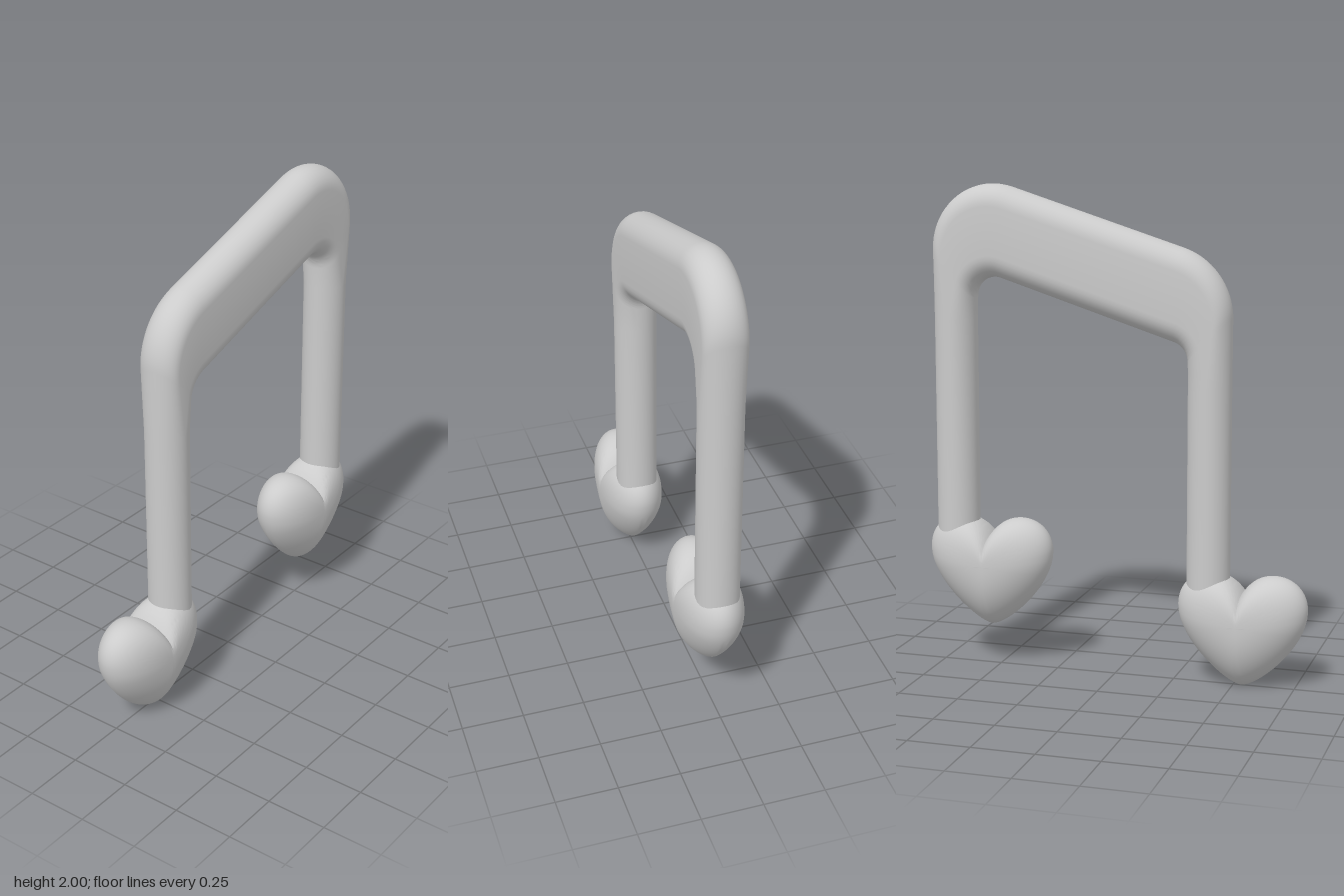
import * as THREE from 'three';
import { toCreasedNormals } from 'three/addons/utils/BufferGeometryUtils.js';

const R = 0.088; // tube radius of the stems and beam edges

// Skin a list of closed rings of Vector3
function loft(rings) {
  const n = rings[0].length, index = [];
  for (let i = 0; i < rings.length - 1; i++) {
    for (let j = 0; j < n; j++) {
      const a = i * n + j, b = i * n + (j + 1) % n;
      index.push(a, a + n, b + n, a, b + n, b);
    }
  }
  const geo = new THREE.BufferGeometry().setFromPoints(rings.flat());
  geo.setIndex(index);
  return toCreasedNormals(geo, 0.8);
}

// Points of a corner arc, angles in degrees
function arc(cx, cy, r, from, to, steps = 20) {
  return Array.from({ length: steps + 1 }, (_, i) => {
    const a = THREE.MathUtils.degToRad(from + (to - from) * i / steps);
    return new THREE.Vector2(cx + r * Math.cos(a), cy + r * Math.sin(a));
  });
}

// Stems and slanted beam: stadium sections between an outer and an inner path
function frameGeometry() {
  const v = (x, y) => new THREE.Vector2(x, y);
  const outer = [v(-0.48, 0.3), v(-0.48, 1.2),
    ...arc(-0.19, 1.483, 0.29, 180, 108), ...arc(0.511, 1.744, 0.256, 108, 0),
    v(0.767, 1.45), v(0.767, 0.46)];
  const inner = [v(-0.304, 0.3), v(-0.304, 1.2),
    ...arc(-0.221, 1.307, 0.083, 180, 108), ...arc(0.503, 1.537, 0.088, 108, 0),
    v(0.591, 1.45), v(0.591, 0.46)];
  const half = 16;
  return loft(outer.map((o, i) => {
    const d = o.clone().sub(inner[i]);
    const flat = Math.max(0, d.length() / 2 - R);
    const mid = o.clone().add(inner[i]).multiplyScalar(0.5);
    d.normalize();
    const ring = [];
    for (const side of [1, -1]) {
      for (let k = 0; k <= half; k++) {
        const a = Math.PI * (k / half - 0.5);
        const u = side * (flat + R * Math.cos(a));
        ring.push(new THREE.Vector3(mid.x + d.x * u, mid.y + d.y * u, -side * R * Math.sin(a)));
      }
    }
    return ring;
  }));
}

// Puffed heart: scaled outlines that bulge towards the middle
function heartGeometry() {
  const s = new THREE.Shape();
  s.moveTo(0, 0);
  s.bezierCurveTo(0.06, 0, 0.265, 0.17, 0.265, 0.325);
  s.bezierCurveTo(0.265, 0.405, 0.205, 0.46, 0.13, 0.46);
  s.bezierCurveTo(0.07, 0.46, 0.03, 0.43, 0, 0.385);
  s.bezierCurveTo(-0.03, 0.43, -0.07, 0.46, -0.13, 0.46);
  s.bezierCurveTo(-0.205, 0.46, -0.265, 0.405, -0.265, 0.325);
  s.bezierCurveTo(-0.265, 0.17, -0.06, 0, 0, 0);
  const outline = s.getPoints(16);
  outline.pop();
  const cy = 0.27, depth = 0.132, steps = 40, rings = [];
  for (let i = 0; i <= steps; i++) {
    const t = Math.PI * i / steps, k = Math.sin(t);
    rings.push(outline.map((p) => {
      // thinner towards the bottom tip
      const tip = Math.max(0, 1 - p.y / cy);
      const z = depth * Math.sign(Math.cos(t)) * Math.pow(Math.max(0, 1 - Math.pow(k, 2.3)), 0.5 + 0.25 * tip);
      return new THREE.Vector3(p.x * k, cy + (p.y - cy) * k, i === steps / 2 ? 0 : z);
    }));
  }
  return loft(rings);
}

export function createModel() {
  const group = new THREE.Group();
  group.name = 'heartMusicNote';
  const material = new THREE.MeshStandardMaterial({ color: 0xcccccc });

  const frame = new THREE.Mesh(frameGeometry(), material);
  frame.name = 'stemsAndBeam';
  group.add(frame);

  // Note heads
  const heart = heartGeometry();
  for (const [name, x, y] of [['rightHeart', -0.535, 0], ['leftHeart', 0.535, 0.17]]) {
    const mesh = new THREE.Mesh(heart, material);
    mesh.name = name;
    mesh.position.set(x, y, 0);
    group.add(mesh);
  }
  return group;
}
